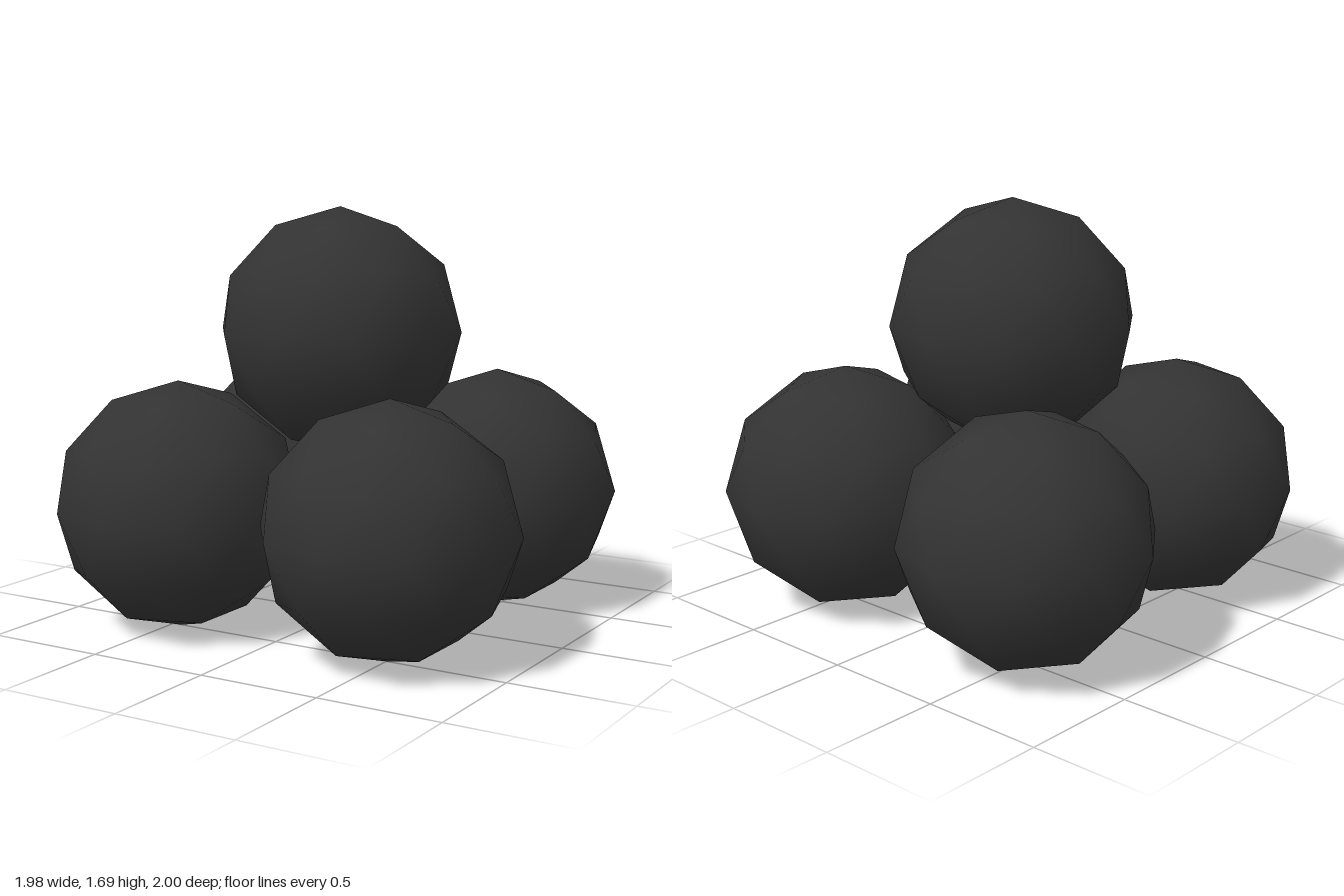
import * as THREE from 'three';

const RADIUS = 0.502;

export function createModel() {
  const group = new THREE.Group();
  group.name = 'ballPile';
  const material = new THREE.MeshStandardMaterial({ color: 0x333333 });

  // Smooth-shaded icosphere, tipped so that one corner points straight up
  const ball = new THREE.IcosahedronGeometry(RADIUS, 1);
  ball.rotateZ(-Math.atan(2 / (1 + Math.sqrt(5))));

  // Four balls in a slightly skewed square, the fifth resting on top
  const balls = [
    ['frontLeftBall', 0.51, RADIUS, 0.498],
    ['frontRightBall', -0.46, RADIUS, 0.498],
    ['backLeftBall', 0.465, RADIUS, -0.498],
    ['backRightBall', -0.52, RADIUS, -0.498],
    ['topBall', -0.02, 1.185, -0.023],
  ];
  for (const [name, x, y, z] of balls) {
    const mesh = new THREE.Mesh(ball, material);
    mesh.name = name;
    mesh.position.set(x, y, z);
    group.add(mesh);
  }
  return group;
}
